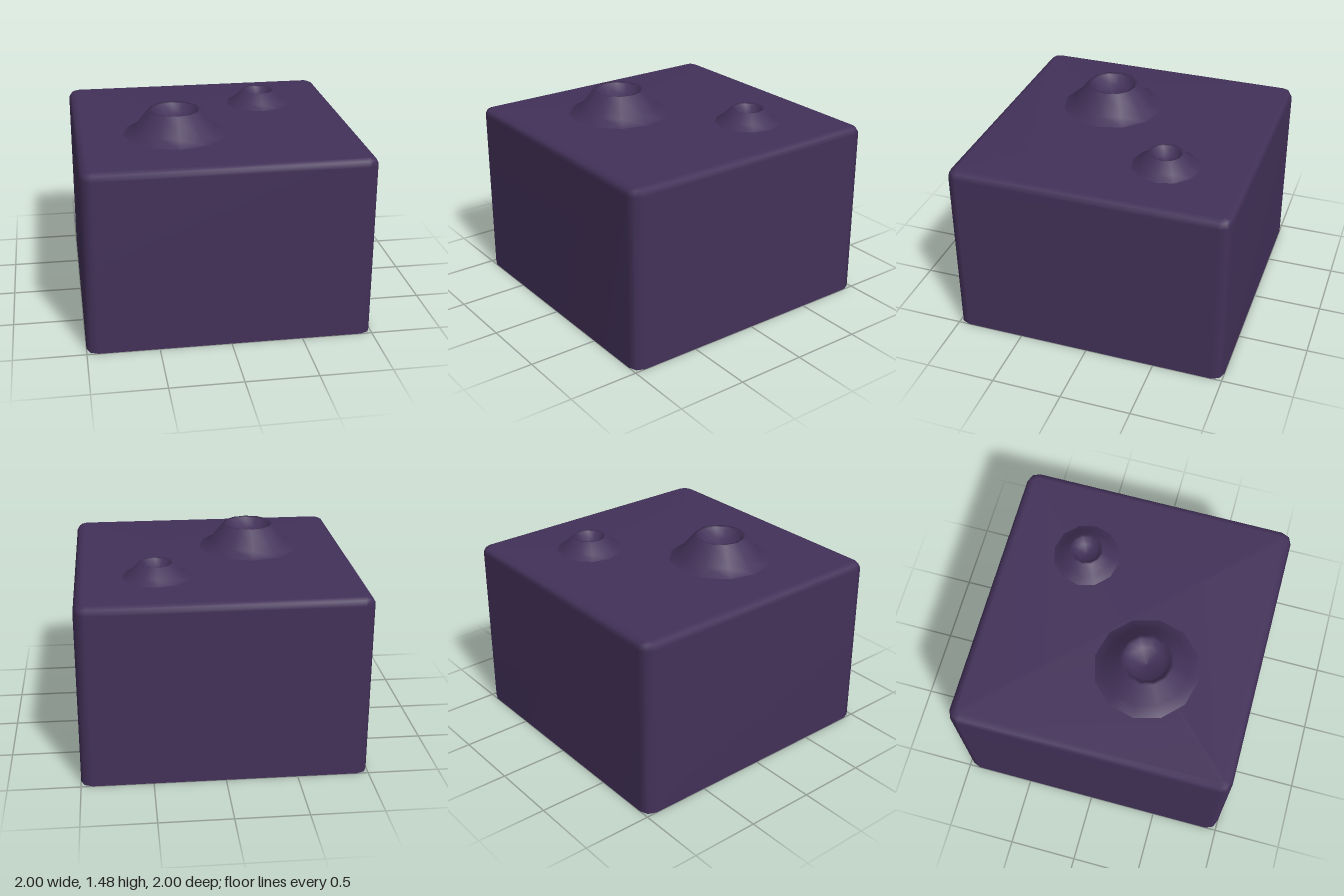
import * as THREE from 'three';

const purple = new THREE.MeshStandardMaterial({ color: 0x433159, side: THREE.DoubleSide });
purple.name = 'dark purple';

// Rounded-square outline at height y: corner centres stay put, radius varies
function outline(radius, y) {
  const points = [];
  const core = 0.92;
  for (let corner = 0; corner < 4; corner++) {
    const mid = Math.PI / 4 + corner * Math.PI / 2;
    const cx = Math.sign(Math.cos(mid)) * core;
    const cz = Math.sign(Math.sin(mid)) * core;
    for (let step = -1; step <= 1; step++) {
      const a = mid + step * Math.PI / 4;
      points.push([cx + radius * Math.cos(a), y, cz + radius * Math.sin(a)]);
    }
  }
  return points;
}

// Open-bottomed block: outlines joined in a loop and closed on top
function blockGeometry() {
  const rings = [[0.08, 0], [0.08, 1.25], [0.06, 1.285], [0.02, 1.3]].map(([r, y]) => outline(r, y));
  const n = rings[0].length;
  const index = [];
  for (let i = 0; i < rings.length - 1; i++) {
    for (let j = 0; j < n; j++) {
      const a = i * n + j, b = i * n + (j + 1) % n;
      index.push(a, a + n, b, b, a + n, b + n);
    }
  }
  const last = (rings.length - 1) * n, centre = rings.length * n;
  for (let j = 0; j < n; j++) index.push(last + j, centre, last + (j + 1) % n);
  const geometry = new THREE.BufferGeometry();
  const positions = [...rings.flat(), [0, 1.3, 0]].flat();
  geometry.setAttribute('position', new THREE.Float32BufferAttribute(positions, 3));
  geometry.setIndex(index);
  geometry.computeVertexNormals();
  return geometry;
}

// Flared cone with a sunken crater, turned from a profile
function vent(name, x, z, profile) {
  const points = profile.map(([r, y]) => new THREE.Vector2(r, y));
  const mesh = new THREE.Mesh(new THREE.LatheGeometry(points, 12), purple);
  mesh.name = name;
  mesh.position.set(x, 1.3, z);
  return mesh;
}

export function createModel() {
  const model = new THREE.Group();
  model.name = 'ventedBlock';

  const block = new THREE.Mesh(blockGeometry(), purple);
  block.name = 'block';
  model.add(block);

  model.add(vent('largeVent', -0.29, 0.235,
    [[0.37, 0], [0.29, 0.045], [0.185, 0.175], [0.16, 0.17], [0.12, 0.1], [0, 0.08]]));
  model.add(vent('smallVent', 0.43, -0.4,
    [[0.24, 0], [0.185, 0.035], [0.12, 0.1], [0.1, 0.095], [0.07, 0.04], [0, 0.03]]));

  return model;
}
